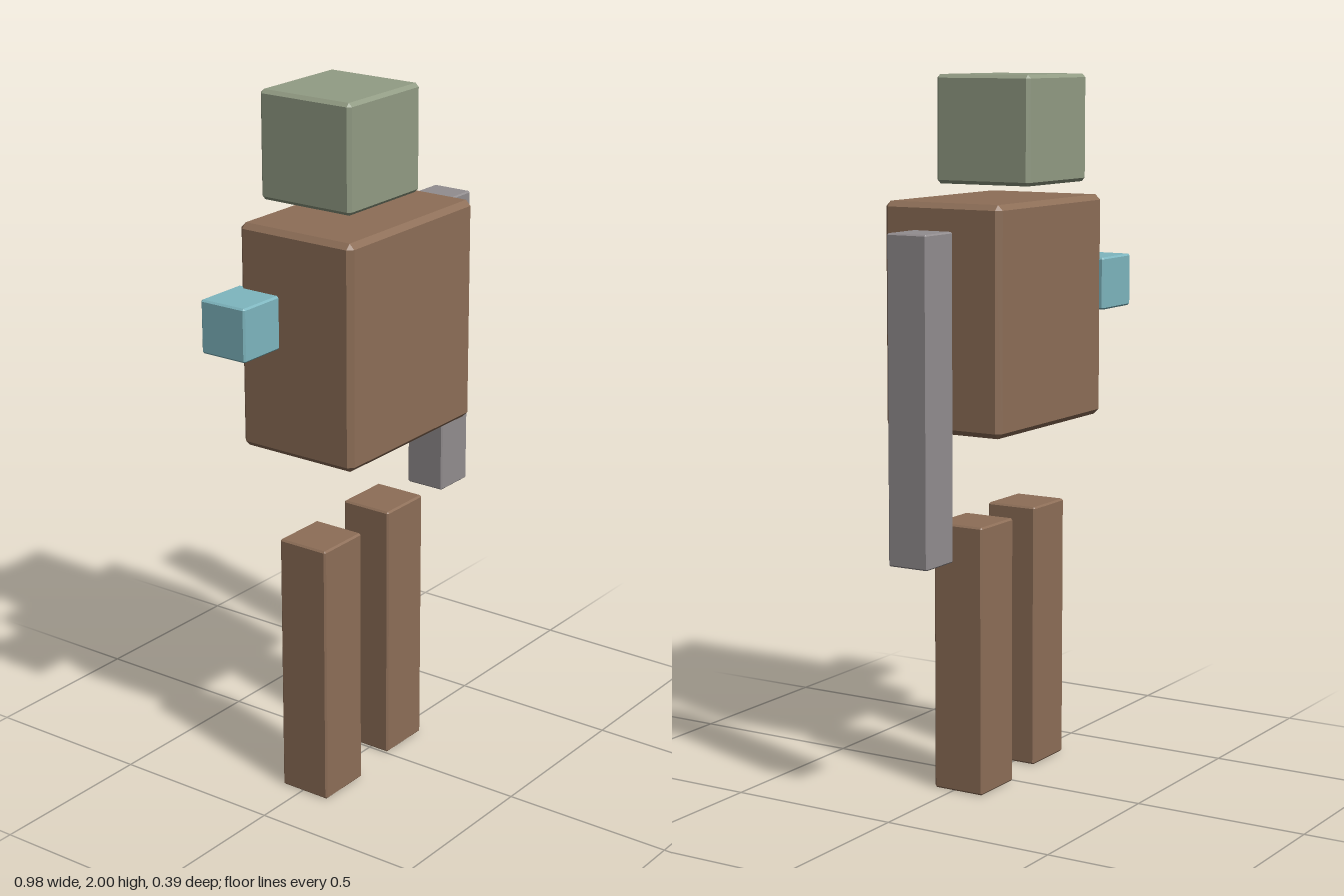
import * as THREE from 'three';
import { ConvexGeometry } from 'three/addons/geometries/ConvexGeometry.js';

// Box with flat chamfered edges: three points around every corner
function chamferBox(w, h, d, c) {
  const points = [];
  for (const x of [-1, 1]) for (const y of [-1, 1]) for (const z of [-1, 1]) {
    for (let axis = 0; axis < 3; axis++) {
      const inset = [0, 1, 2].map((i) => (i === axis ? 0 : c));
      points.push(new THREE.Vector3(
        x * (w / 2 - inset[0]), y * (h / 2 - inset[1]), z * (d / 2 - inset[2])));
    }
  }
  return new ConvexGeometry(points);
}

function material(name, color) {
  const m = new THREE.MeshStandardMaterial({ color });
  m.name = name;
  return m;
}

export function createModel() {
  const group = new THREE.Group();
  group.name = 'blockFigure';
  const brown = material('brown', 0x8d6e57);
  const green = material('sageGreen', 0x929c84);
  const grey = material('grey', 0x928d8f);
  const teal = material('teal', 0x7eb6bf);

  // Each part is placed by its [min, max] extent on x, y and z
  function part(name, mat, x, y, z, chamfer) {
    const size = [x, y, z].map(([a, b]) => b - a);
    const centre = [x, y, z].map(([a, b]) => (a + b) / 2);
    const mesh = new THREE.Mesh(chamferBox(...size, chamfer), mat);
    mesh.position.set(...centre);
    mesh.name = name;
    group.add(mesh);
  }

  part('head', green, [-0.248, 0.07], [1.7, 2], [-0.182, 0.118], 0.01);
  part('torso', brown, [-0.345, 0.219], [1.025, 1.658], [-0.181, 0.193], 0.015);

  // Long left arm and short right stump
  part('leftArm', grey, [0.355, 0.485], [0.706, 1.595], [-0.119, 0.004], 0.004);
  part('rightArmStump', teal, [-0.49, -0.327], [1.328, 1.478], [-0.195, -0.047], 0.005);

  // Legs, the right one a little forward
  part('leftLeg', brown, [0.004, 0.172], [0, 0.766], [-0.095, 0.062], 0.005);
  part('rightLeg', brown, [-0.326, -0.158], [0, 0.766], [-0.069, 0.088], 0.005);

  return group;
}
